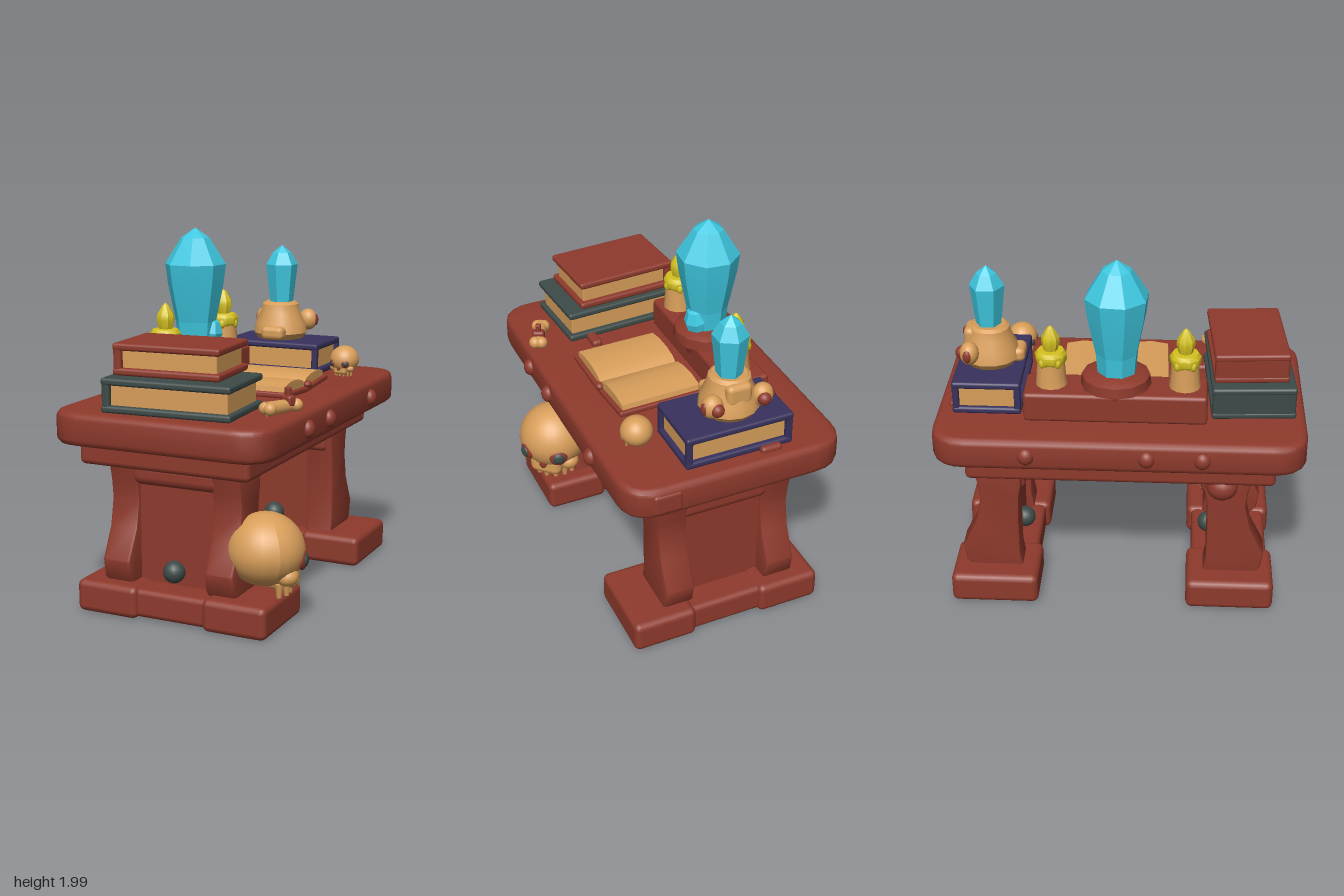
import * as THREE from 'three';
import { toCreasedNormals } from 'three/addons/utils/BufferGeometryUtils.js';
import { RoundedBoxGeometry } from 'three/addons/geometries/RoundedBoxGeometry.js';

const mat = (name, color) => Object.assign(new THREE.MeshStandardMaterial({ color }), { name });
const wood = mat('red wood', 0x8e3a2c);
const bone = mat('bone and paper', 0xd89e5a);
const crystal = mat('cyan crystal', 0x3ec8e0);
const yellow = mat('yellow wax', 0xd4c120);
const slate = mat('dark slate', 0x3e4b48);
const purple = mat('dark purple', 0x38315c);

function add(parent, name, geo, material, x = 0, y = 0, z = 0) {
  const m = new THREE.Mesh(geo, material);
  m.name = name;
  m.position.set(x, y, z);
  parent.add(m);
  return m;
}
function group(parent, name, x = 0, y = 0, z = 0, ry = 0) {
  const g = new THREE.Group();
  g.name = name;
  g.position.set(x, y, z);
  g.rotation.y = ry;
  parent.add(g);
  return g;
}
const box = (w, h, d, r = 0.015) => new RoundedBoxGeometry(w, h, d, 2, r);
const ball = (r, sx = 1, sy = 1, sz = 1) => new THREE.SphereGeometry(r, 16, 12).scale(sx, sy, sz);
const lathe = (pts, n, crease = 0.7) =>
  toCreasedNormals(new THREE.LatheGeometry(pts.map(p => new THREE.Vector2(...p)), n), crease);

// Rounded slab lying flat, centred on x and z, standing on y = 0
function slab(w, d, h, r, bevel) {
  const a = w / 2 - bevel, b = d / 2 - bevel, s = new THREE.Shape();
  s.moveTo(-a + r, -b).lineTo(a - r, -b).quadraticCurveTo(a, -b, a, -b + r);
  s.lineTo(a, b - r).quadraticCurveTo(a, b, a - r, b);
  s.lineTo(-a + r, b).quadraticCurveTo(-a, b, -a, b - r);
  s.lineTo(-a, -b + r).quadraticCurveTo(-a, -b, -a + r, -b);
  const g = new THREE.ExtrudeGeometry(s, { depth: h - 2 * bevel, bevelEnabled: true,
    bevelSize: bevel, bevelThickness: bevel, bevelSegments: 3, curveSegments: 5 });
  return toCreasedNormals(g.translate(0, 0, bevel).rotateX(-Math.PI / 2), 0.6);
}
// Outline in z and y, extruded along x and centred
function sideProfile(points, width, bevel) {
  const s = new THREE.Shape(points.map(p => new THREE.Vector2(-p[0], p[1])));
  const g = new THREE.ExtrudeGeometry(s, { depth: width - 2 * bevel, bevelEnabled: bevel > 0,
    bevelSize: bevel, bevelThickness: bevel, bevelSegments: 2 });
  return toCreasedNormals(g.translate(0, 0, bevel - width / 2).rotateY(Math.PI / 2), 0.7);
}

// Trestle leg: local +z is the outer side, footShift moves the foot along local x
function leg(parent, name, x, z, ry, footShift) {
  const g = group(parent, name, x, 0, z, ry);
  add(g, 'footBar', box(0.9, 0.155, 0.43, 0.03), wood, footShift, 0.085, 0);
  add(g, 'panel', box(0.54, 0.74, 0.16), wood, 0, 0.47, -0.02);
  add(g, 'panelLip', box(0.52, 0.13, 0.24, 0.05), wood, 0, 0.755, -0.02);
  add(g, 'innerCapital', box(0.7, 0.16, 0.09, 0.03), wood, 0, 0.74, -0.13);
  for (const s of [-1, 1]) {
    add(g, 'foot', box(0.36, 0.175, 0.485, 0.035), wood, s * 0.37 + footShift, 0.0875, 0);
    const outline = [[0.1, 0.14], [0.155, 0.2], [0.17, 0.29], [0.09, 0.45], [0.06, 0.6], [0.07, 0.7], [0.1, 0.83],
      [-0.14, 0.83], [-0.14, 0.7], [-0.125, 0.62], [-0.12, 0.45], [-0.12, 0.25], [-0.14, 0.14]];
    add(g, 'pillar', sideProfile(outline, 0.165, 0.015), wood, s * 0.3, 0, 0);
  }
  add(g, 'innerKnob', ball(0.06), slate, 0, 0.24, -0.12);
  return g;
}

// Closed book with paper block and covers; the spine is on -x
function book(parent, name, cover, w, h, d, x, y, z, ry, corners = false) {
  const g = group(parent, name, x, y, z, ry), t = 0.038;
  add(g, 'pages', box(w - 0.05, h - t, d - 0.06, 0.008), bone, 0, h / 2, 0);
  for (const cy of [t / 2, h - t / 2]) add(g, 'cover', box(w, t, d, 0.014), cover, 0, cy, 0);
  if (corners) {
    for (const sx of [-1, 1]) for (const sz of [-1, 1])
      add(g, 'cornerPost', box(0.035, h - 0.02, 0.035, 0.008), cover, sx * (w / 2 - 0.02), h / 2, sz * (d / 2 - 0.02));
  } else {
    add(g, 'spine', box(0.045, h - 0.01, d - 0.005, 0.016), cover, -w / 2 + 0.025, h / 2, 0);
  }
}

// Skull of cranium radius 0.21 facing local +z
function skull(parent, name, x, y, z, ry, scale) {
  const g = group(parent, name, x, y, z, ry);
  g.scale.setScalar(scale);
  const head = new THREE.SphereGeometry(0.208, 28, 20), p = head.attributes.position;
  for (let i = 0; i < p.count; i++) {
    const low = Math.max(0, -p.getY(i) / 0.208);
    p.setXYZ(i, p.getX(i) * (1 - 0.12 * low), p.getY(i) * (1 - 0.15 * low), p.getZ(i) * (1 - 0.08 * low));
  }
  head.computeVertexNormals();
  add(g, 'cranium', head, bone);
  add(g, 'upperJaw', box(0.2, 0.13, 0.18, 0.045), bone, 0, -0.125, 0.075);
  for (const s of [-1, 1]) {
    add(g, 'cheek', ball(0.06, 1, 0.85, 1), bone, s * 0.125, -0.105, 0.07);
    add(g, 'eyeRim', ball(0.055, 1, 1, 0.45), wood, s * 0.103, -0.03, 0.163).rotation.y = s * 0.56;
    add(g, 'eye', ball(0.036, 1, 1, 0.5), slate, s * 0.111, -0.03, 0.176).rotation.y = s * 0.56;
  }
  add(g, 'nose', ball(0.03, 0.8, 1.1, 0.5), wood, 0, -0.1, 0.168);
  for (let i = -3; i <= 3; i++)
    add(g, 'tooth', new THREE.CylinderGeometry(0.024, 0.014, 0.075, 6), bone,
      0.125 * Math.sin(i * 0.45), -0.178, 0.125 * Math.cos(i * 0.45));
}

function candle(parent, x, y, z) {
  const g = group(parent, 'candle', x, y, z);
  add(g, 'stick', lathe([[0, 0], [0.085, 0], [0.08, 0.04], [0.072, 0.16], [0, 0.17]], 12), bone);
  add(g, 'meltedWax', lathe([[0.073, 0.13], [0.083, 0.145], [0.085, 0.18], [0.07, 0.2], [0, 0.205]], 10), yellow);
  for (let i = 0; i < 5; i++)
    add(g, 'drip', ball(0.02, 1, 1.4, 1), yellow, 0.068 * Math.cos(i * 1.257), 0.145, 0.068 * Math.sin(i * 1.257));
  add(g, 'flame', lathe([[0.034, 0.19], [0.05, 0.25], [0.046, 0.28], [0.015, 0.33], [0, 0.342]], 8, 0.6), yellow);
}

export function createModel() {
  const root = new THREE.Group();
  root.name = 'ritualTable';

  // Table
  add(root, 'tabletop', slab(1.235, 1.985, 0.175, 0.15, 0.035), wood, -0.005, 0.935, 0);
  add(root, 'apron', box(0.98, 0.15, 1.66, 0.03), wood, -0.03, 0.88, 0.005);
  for (const s of [-1, 1]) for (const z of [-0.48, 0.15, 0.44])
    add(root, 'edgeStud', ball(0.045, 0.9, 1.1, 1), wood, s * 0.61, 1.02, z);
  add(root, 'cornerChip', box(0.16, 0.12, 0.06, 0.02), wood, 0.4, 1.02, -0.97);
  const front = leg(root, 'frontLeg', -0.025, 0.615, 0, 0.035);
  add(front, 'outerKnob', ball(0.06), slate, -0.01, 0.24, 0.08);
  add(front, 'bracket', ball(0.085, 0.85, 0.9, 1), wood, -0.385, 0.735, -0.06);
  leg(root, 'backLeg', -0.025, -0.695, Math.PI, -0.035);

  // Book stacks
  book(root, 'lowerBook', slate, 0.71, 0.18, 0.45, 0.02, 1.115, 0.69, 0.06);
  book(root, 'upperBook', wood, 0.585, 0.165, 0.4, 0.005, 1.305, 0.675, 0.07);
  book(root, 'purpleBook', purple, 0.6, 0.185, 0.37, -0.04, 1.11, -0.715, 0, true);

  // Open book, fold running along x
  const open = group(root, 'openBook', 0.155, 1.11, -0.045, 0.03);
  const curve = [[0.3, 0.025], [0.29, 0.075], [0.2, 0.09], [0.1, 0.086], [0.03, 0.07], [0, 0.05]];
  const pages = [...curve, ...curve.slice(0, -1).reverse().map(([z, y]) => [-z, y])];
  add(open, 'pages', sideProfile(pages, 0.455, 0), bone);
  for (const s of [-1, 1])
    add(open, 'cover', box(0.5, 0.03, 0.32, 0.01), wood, 0, 0.024, s * 0.158).rotation.x = s * -0.06;
  add(open, 'clasp', ball(0.03, 0.8, 0.7, 1), wood, 0.24, 0.04, -0.02);

  // Plinth with candles and the large crystal
  add(root, 'plinth', box(0.245, 0.165, 0.975, 0.02), wood, -0.28, 1.19, -0.025);
  add(root, 'crystalDish', lathe([[0, -0.07], [0.12, -0.065], [0.14, 0], [0.188, 0.02], [0.182, 0.075], [0.14, 0.095], [0, 0.1]], 12), wood, -0.27, 1.265, -0.025);
  candle(root, -0.265, 1.27, -0.37);
  candle(root, -0.265, 1.27, 0.34);
  const big = add(root, 'largeCrystal', lathe([[0, 0], [0.105, 0], [0.115, 0.12], [0.158, 0.33], [0.172, 0.44], [0.08, 0.585], [0, 0.64]], 8, 0.1), crystal, -0.268, 1.35, -0.02);
  big.rotation.y = 0.3;
  add(root, 'crystalShoot', lathe([[0.06, 0], [0.07, 0.06], [0.045, 0.12], [0, 0.14]], 7, 0.1), crystal, -0.2, 1.35, -0.05).rotation.z = -0.15;

  // Bone holder with the small crystal
  const holder = group(root, 'boneHolder', -0.055, 1.29, -0.72);
  add(holder, 'bowl', lathe([[0, 0], [0.13, 0], [0.16, 0.04], [0.15, 0.1], [0.12, 0.16], [0.11, 0.21], [0.09, 0.225], [0, 0.22]], 14), bone);
  add(holder, 'snout', box(0.14, 0.08, 0.1, 0.03), bone, 0.02, 0.05, 0.14);
  add(holder, 'backRim', box(0.14, 0.12, 0.08, 0.03), bone, 0, 0.155, -0.095);
  for (const s of [-1, 1]) {
    add(holder, 'horn', ball(0.058, 1, 1.1, 0.9), bone, s * 0.14, 0.11, -0.095);
    add(holder, 'socket', ball(0.036), wood, s * 0.13, 0.11, -0.135);
    add(holder, 'socketSide', ball(0.03, 0.6, 1.2, 0.8), wood, s * 0.185, 0.11, -0.1);
  }
  add(root, 'smallCrystal', lathe([[0, 0], [0.068, 0], [0.095, 0.23], [0.055, 0.3], [0, 0.345]], 6, 0.1), crystal, -0.05, 1.505, -0.725);

  // Skulls
  skull(root, 'largeSkull', 0.445, 0.39, 0.59, 2.356, 1);
  skull(root, 'smallSkull', 0.405, 1.205, -0.605, -0.15, 0.41);

  // Loose bone on the right edge
  const loose = group(root, 'looseBone', 0.51, 1.15, 0.555, -0.42);
  add(loose, 'shaft', new THREE.CylinderGeometry(0.038, 0.032, 0.19, 8).rotateX(Math.PI / 2), bone);
  for (const sz of [-1, 1]) for (const sx of [-1, 1])
    add(loose, 'knuckle', ball(0.034), bone, sx * 0.018, 0, sz * 0.09);
  add(loose, 'binding', box(0.07, 0.06, 0.05), wood, 0, 0.025, -0.05);
  add(loose, 'peg', box(0.03, 0.09, 0.03, 0.006), wood, 0, 0.05, -0.05);

  // Wood lumps on the top
  add(root, 'lump', box(0.06, 0.06, 0.14, 0.02), wood, 0.23, 1.115, 0.42);
  add(root, 'lump', box(0.12, 0.05, 0.08, 0.02), wood, -0.21, 1.115, -0.89);
  return root;
}
